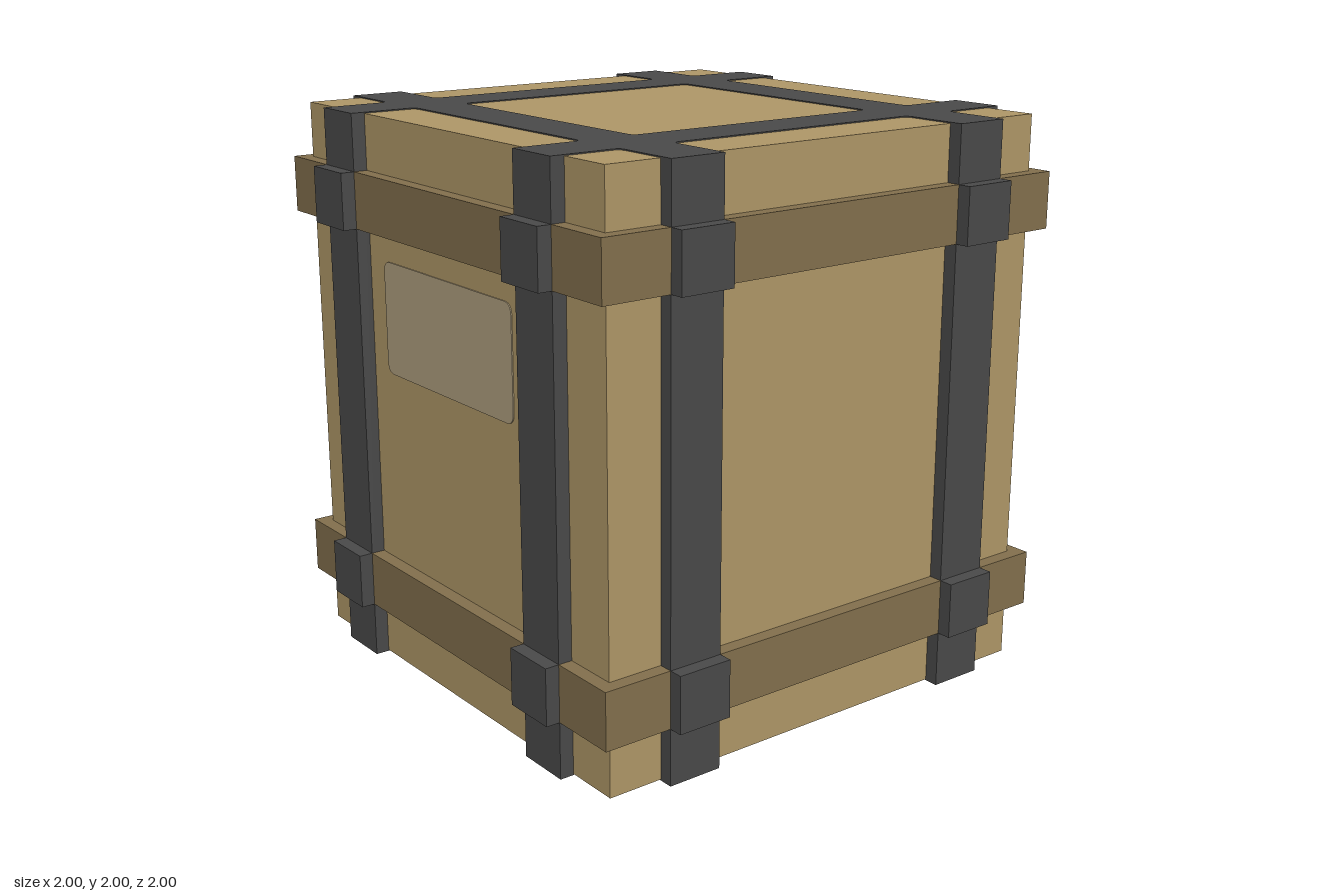
import * as THREE from 'three';

const mat = (name, color) => new THREE.MeshStandardMaterial({ name, color });

// Closed shape from corner points [x, y, radius]; a radius rounds that corner
function roundedOutline(points, target = new THREE.Shape()) {
  const toward = (a, b, r) => {
    const d = Math.hypot(b[0] - a[0], b[1] - a[1]);
    return [a[0] + (b[0] - a[0]) * r / d, a[1] + (b[1] - a[1]) * r / d];
  };
  points.forEach((p, i) => {
    const r = p[2] || 0;
    const prev = points[(i + points.length - 1) % points.length];
    const next = points[(i + 1) % points.length];
    const start = toward(p, prev, r);
    if (i === 0) target.moveTo(...start); else target.lineTo(...start);
    if (r) target.quadraticCurveTo(p[0], p[1], ...toward(p, next, r));
  });
  target.closePath();
  return target;
}

export function createModel() {
  const cardboard = mat('cardboard', 0xb09868);
  const band = mat('brownBand', 0x83704d);
  const strap = mat('darkStrap', 0x4a4a4a);
  const paper = mat('paperLabel', 0xb0a080);
  const crate = new THREE.Group();
  crate.name = 'crate';

  const add = (parent, name, geometry, material, x = 0, y = 0, z = 0) => {
    const mesh = new THREE.Mesh(geometry, material);
    mesh.name = name;
    mesh.position.set(x, y, z);
    parent.add(mesh);
    return mesh;
  };

  const plate = 0.004;
  const bandHeights = [0.3, 1.7];

  // Main box, leaving room for the flat straps above and below
  add(crate, 'body', new THREE.BoxGeometry(1.8, 2 - 2 * plate, 1.8), cardboard, 0, 1, 0);

  // Horizontal bands around the box
  for (const y of bandHeights) {
    add(crate, 'band', new THREE.BoxGeometry(1.9, 0.2, 1.9), band, 0, y, 0);
  }

  // Two upright straps per side, each stepping out over the bands
  const uprightGeometry = new THREE.BoxGeometry(0.2, 2, 0.05);
  const stepGeometry = new THREE.BoxGeometry(0.2, 0.2, 0.05);
  for (let i = 0; i < 4; i++) {
    const side = new THREE.Group();
    side.name = 'sideStraps';
    side.rotation.y = i * Math.PI / 2;
    for (const x of [-0.6, 0.6]) {
      add(side, 'uprightStrap', uprightGeometry, strap, x, 1, 0.925);
      for (const y of bandHeights) add(side, 'strapStep', stepGeometry, strap, x, y, 0.975);
    }
    crate.add(side);
  }

  // Crossed straps lying flat on the top and bottom, rounded where they meet
  const r = 0.025;
  const quarter = [
    [0.9, -0.7], [0.9, -0.5], [0.7, -0.5, r], [0.7, 0.5, r],
    [0.9, 0.5], [0.9, 0.7], [0.7, 0.7, r],
  ];
  const outline = [];
  for (let i = 0; i < 4; i++) {
    const c = [1, 0, -1, 0][i], s = [0, 1, 0, -1][i];
    for (const [x, y, radius] of quarter) outline.push([x * c - y * s, x * s + y * c, radius]);
  }
  const cross = roundedOutline(outline);
  const square = [[-0.5, -0.5, r], [-0.5, 0.5, r], [0.5, 0.5, r], [0.5, -0.5, r]];
  cross.holes.push(roundedOutline(square, new THREE.Path()));
  const crossGeometry = new THREE.ExtrudeGeometry(cross, {
    depth: plate, bevelEnabled: false, curveSegments: 3,
  }).rotateX(-Math.PI / 2);
  add(crate, 'topStraps', crossGeometry, strap, 0, 2 - plate, 0);
  add(crate, 'bottomStraps', crossGeometry, strap);

  // Paper label on the front
  const label = roundedOutline([
    [-0.4, 1.1, 0.04], [0.4, 1.1, 0.04], [0.4, 1.5, 0.04], [-0.4, 1.5, 0.04],
  ]);
  const labelGeometry = new THREE.ExtrudeGeometry(label, {
    depth: plate, bevelEnabled: false, curveSegments: 6,
  });
  add(crate, 'label', labelGeometry, paper, 0, 0, 0.9);

  return crate;
}
